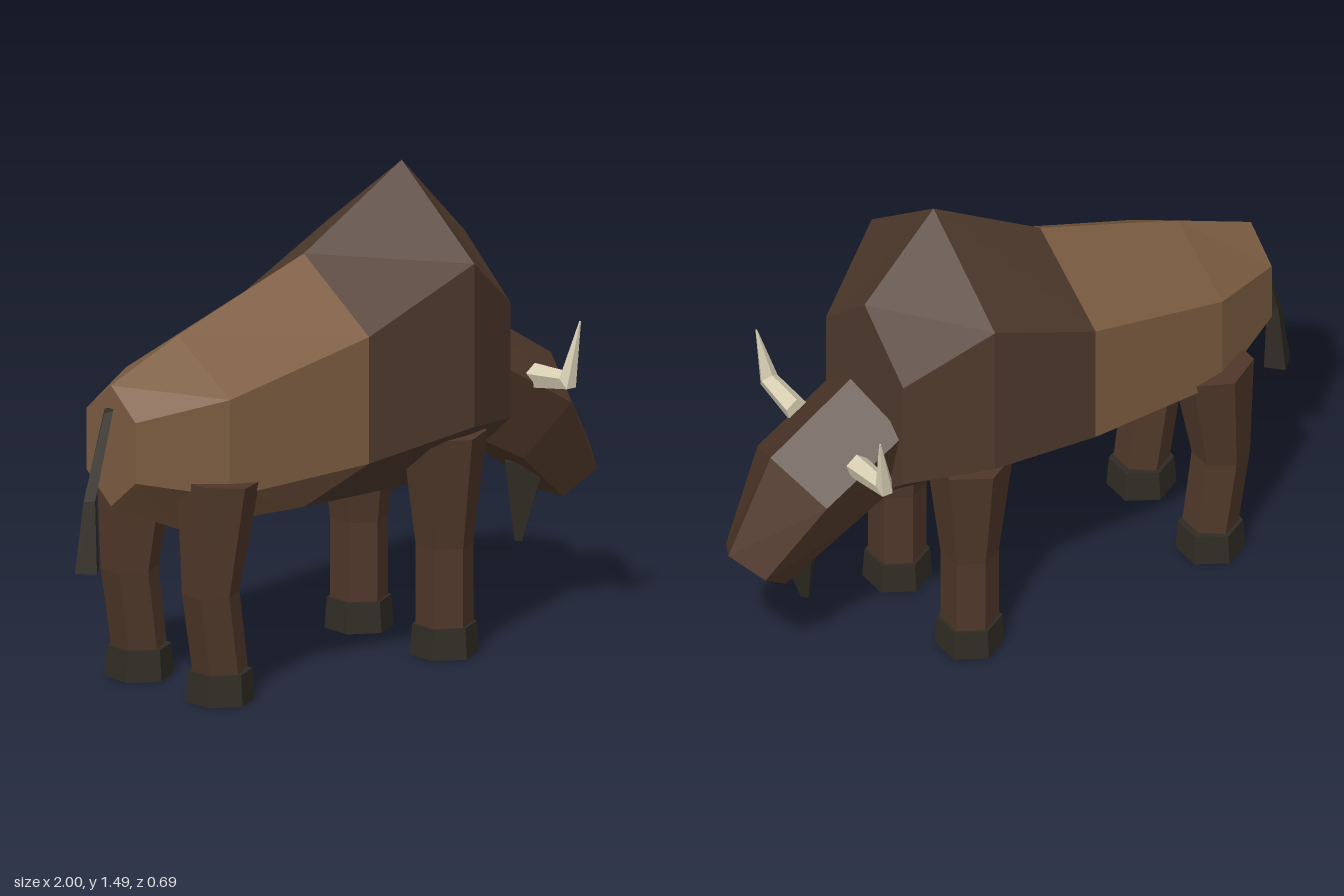
import * as THREE from 'three';

const V = (x, y, z) => new THREE.Vector3(x, y, z);
const paint = (name, color) => {
  const m = new THREE.MeshStandardMaterial({ color });
  m.name = name;
  return m;
};

// Faceted, capped skin through rings; a ring is centre c with half-axes u and v.
function loft(name, material, sides, rings, start = 0) {
  const flip = V(0, 0, 0).crossVectors(rings[0].u, rings[0].v).dot(rings[1].c.clone().sub(rings[0].c)) < 0;
  const pts = rings.map(({ c, u, v }) => Array.from({ length: sides }, (_, i) => {
    const a = start + (i / sides) * Math.PI * 2;
    return c.clone().addScaledVector(u, Math.cos(a)).addScaledVector(v, Math.sin(a));
  }));
  const pos = [];
  const tri = (a, b, c) => (flip ? [a, c, b] : [a, b, c]).forEach(p => pos.push(p.x, p.y, p.z));
  const last = rings.length - 1;
  for (let i = 0; i < sides; i++) {
    const j = (i + 1) % sides;
    for (let k = 0; k < last; k++) {
      tri(pts[k][i], pts[k][j], pts[k + 1][j]);
      tri(pts[k][i], pts[k + 1][j], pts[k + 1][i]);
    }
    tri(rings[0].c, pts[0][j], pts[0][i]);
    tri(rings[last].c, pts[last][i], pts[last][j]);
  }
  const geo = new THREE.BufferGeometry();
  geo.setAttribute('position', new THREE.Float32BufferAttribute(pos, 3));
  geo.computeVertexNormals();
  const mesh = new THREE.Mesh(geo, material);
  mesh.name = name;
  return mesh;
}

// Ring whose first axis lies in the xy plane (at an angle) and whose second is z.
const ring = (x, y, z, r, angle = 0, rz = r) =>
  ({ c: V(x, y, z), u: V(Math.cos(angle) * r, Math.sin(angle) * r, 0), v: V(0, 0, rz) });

export function createModel() {
  const model = new THREE.Group();
  model.name = 'bison';
  const rearHide = paint('light brown hide', 0x7d5d42);
  const maneHide = paint('dark brown mane', 0x4f3a2d);
  const skin = paint('brown skin', 0x4f3729);
  const dark = paint('charcoal hair and hoof', 0x302c24);
  const bone = paint('bone', 0xd8cfb4);
  const up = Math.PI / 2;

  // Barrel and hump: x, bottom, top, half width
  const body = [
    [-0.86, 0.605, 0.98, 0.115],
    [-0.6, 0.49, 1.09, 0.245],
    [-0.11, 0.475, 1.26, 0.305],
    [0.27, 0.475, 1.485, 0.34],
    [0.515, 0.51, 1.225, 0.213],
  ].map(([x, lo, hi, w]) => ring(x, (lo + hi) / 2, 0, (hi - lo) / 2, up, w / Math.cos(Math.PI / 6)));
  model.add(loft('hindBody', rearHide, 6, body.slice(0, 3)));
  model.add(loft('humpAndShoulders', maneHide, 6, body.slice(2)));

  // Five-sided head, each section placed by its crown point and tilt
  const head = [
    [0.565, 0.97, 0.2, Math.atan2(0.87, 0.49)],
    [0.85, 0.79, 0.187, Math.atan2(0.265, 0.2)],
    [1.0, 0.485, 0.113, Math.atan2(0.125, 0.16)],
  ].map(([x, y, r, a], i) =>
    ring(x - Math.cos(a) * r, y - Math.sin(a) * r, 0, r, a, i < 2 ? 0.2 : 0.115));
  model.add(loft('head', skin, 5, head));

  model.add(loft('beard', dark, 4, [ring(0.755, 0.48, 0, 0.085), ring(0.725, 0.23, 0, 0.016)]));

  model.add(loft('tail', dark, 4, [
    ring(-0.868, 0.905, 0, 0.02, 0.4),
    ring(-0.942, 0.64, 0, 0.025, 0.15),
    ring(-0.953, 0.42, 0, 0.047),
  ]));

  for (const [label, s] of [['left', 1], ['right', -1]]) {
    // Horn: out from the head, then sharply up
    model.add(loft(label + 'Horn', bone, 5, [
      { c: V(0.65, 0.785, 0.165 * s), u: V(0, 0.04, 0), v: V(0.038, 0, 0) },
      { c: V(0.65, 0.803, 0.32 * s), u: V(0, 0.027, -0.02 * s), v: V(0.03, 0, 0) },
      { c: V(0.68, 0.985, 0.341 * s), u: V(0, 0, -0.003 * s), v: V(0.003, 0, 0) },
    ]));

    // Legs have a corner facing outward
    const legs = {
      FrontLeg: [0.2, [[0.27, 0.685, 0.13, 0], [0.27, 0.34, 0.0875, 0], [0.27, 0.08, 0.0875, 0]]],
      HindLeg: [0.19, [[-0.6, 0.68, 0.125, -0.08], [-0.63, 0.34, 0.0875, 0.02], [-0.593, 0.095, 0.084, 0.14]]],
    };
    for (const [kind, [z, rows]] of Object.entries(legs)) {
      model.add(loft(label + kind, skin, 6, rows.map(([x, y, r, a]) => ring(x, y, z * s, r, a)), Math.PI / 6));
      const x = rows[2][0];
      model.add(loft(label + kind + 'Hoof', dark, 6,
        [ring(x, 0.095, z * s, 0.098), ring(x, 0, z * s, 0.105)], Math.PI / 6));
    }
  }
  return model;
}
